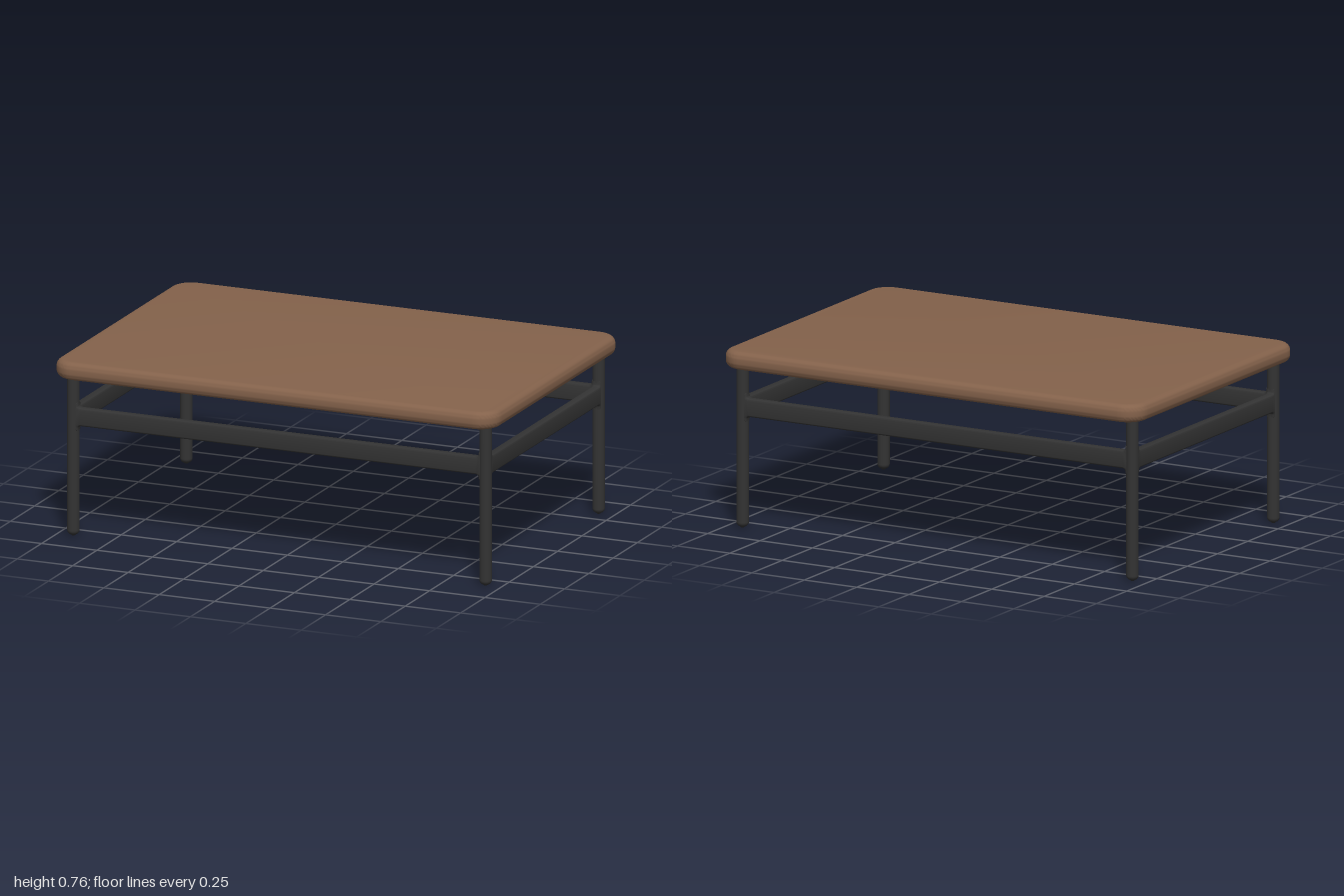
import * as THREE from 'three';
import { toCreasedNormals } from 'three/addons/utils/BufferGeometryUtils.js';

const LEG_X = 0.93, LEG_Z = 0.582, LEG_R = 0.026;
const TOP_Y0 = 0.686, TOP_Y1 = 0.763;
const RAIL_Y0 = 0.476, RAIL_Y1 = 0.553, RAIL_T = 0.038;

// Rounded rectangle outline centred on the origin
function roundedRect(hx, hy, r) {
  const s = new THREE.Shape();
  s.absarc(hx - r, hy - r, r, 0, Math.PI / 2);
  s.absarc(-hx + r, hy - r, r, Math.PI / 2, Math.PI);
  s.absarc(-hx + r, -hy + r, r, Math.PI, Math.PI * 1.5);
  s.absarc(hx - r, -hy + r, r, Math.PI * 1.5, Math.PI * 2);
  s.closePath();
  return s;
}

// Table top: rounded slab with soft edges
function topGeometry() {
  const b = 0.03;
  const g = new THREE.ExtrudeGeometry(roundedRect(1 - b, 0.67 - b, 0.065), {
    depth: TOP_Y1 - TOP_Y0 - 2 * b, bevelSize: b, bevelThickness: b, bevelSegments: 6, curveSegments: 10,
  });
  g.rotateX(-Math.PI / 2);
  g.translate(0, TOP_Y0 + b, 0);
  return toCreasedNormals(g, 0.7);
}

// Rail running along x between two leg centres, flared where it meets the legs
function railGeometry(half) {
  const b = 0.008, f = 0.022;
  const face = half - LEG_R + b;
  const y0 = RAIL_Y0 + b, y1 = RAIL_Y1 - b;
  const s = new THREE.Shape();
  s.moveTo(-half, y0 - f);
  s.lineTo(-face, y0 - f);
  s.quadraticCurveTo(-face, y0, -face + f, y0);
  s.lineTo(face - f, y0);
  s.quadraticCurveTo(face, y0, face, y0 - f);
  s.lineTo(half, y0 - f);
  s.lineTo(half, y1 + f);
  s.lineTo(face, y1 + f);
  s.quadraticCurveTo(face, y1, face - f, y1);
  s.lineTo(-face + f, y1);
  s.quadraticCurveTo(-face, y1, -face, y1 + f);
  s.lineTo(-half, y1 + f);
  s.closePath();
  const g = new THREE.ExtrudeGeometry(s, {
    depth: RAIL_T - 2 * b, bevelSize: b, bevelThickness: b, bevelSegments: 3, curveSegments: 6,
  });
  g.translate(0, 0, -RAIL_T / 2 + b);
  return toCreasedNormals(g, 0.7);
}

// Round leg with a softened foot
function legGeometry() {
  const r = 0.02, pts = [new THREE.Vector2(0, 0.004)];
  for (let i = 0; i <= 5; i++) {
    const a = (i / 5) * Math.PI / 2;
    pts.push(new THREE.Vector2(LEG_R - r + r * Math.sin(a), 0.004 + r * (1 - Math.cos(a))));
  }
  pts[0].y = pts[1].y = 0;
  pts.push(new THREE.Vector2(LEG_R, TOP_Y0 + 0.01));
  return new THREE.LatheGeometry(pts, 24);
}

export function createModel() {
  const wood = new THREE.MeshStandardMaterial({ color: 0x84624b });
  wood.name = 'brown wood';
  const metal = new THREE.MeshStandardMaterial({ color: 0x333333 });
  metal.name = 'dark metal';

  const table = new THREE.Group();
  table.name = 'coffeeTable';
  const add = (name, geometry, material) => {
    const mesh = new THREE.Mesh(geometry, material);
    mesh.name = name;
    table.add(mesh);
    return mesh;
  };

  add('tableTop', topGeometry(), wood);

  // Four legs
  const leg = legGeometry();
  for (const [sx, side] of [[1, 'Left'], [-1, 'Right']]) {
    for (const [sz, end] of [[1, 'front'], [-1, 'back']]) {
      add(`${end}${side}Leg`, leg, metal).position.set(sx * LEG_X, 0, sz * LEG_Z);
    }
  }

  // Long rails at front and back, short rails at the sides
  const longRail = railGeometry(LEG_X), shortRail = railGeometry(LEG_Z);
  for (const s of [1, -1]) {
    add(s > 0 ? 'frontRail' : 'backRail', longRail, metal).position.z = s * LEG_Z;
    const rail = add(s > 0 ? 'leftRail' : 'rightRail', shortRail, metal);
    rail.position.x = s * LEG_X;
    rail.rotation.y = Math.PI / 2;
  }
  return table;
}
